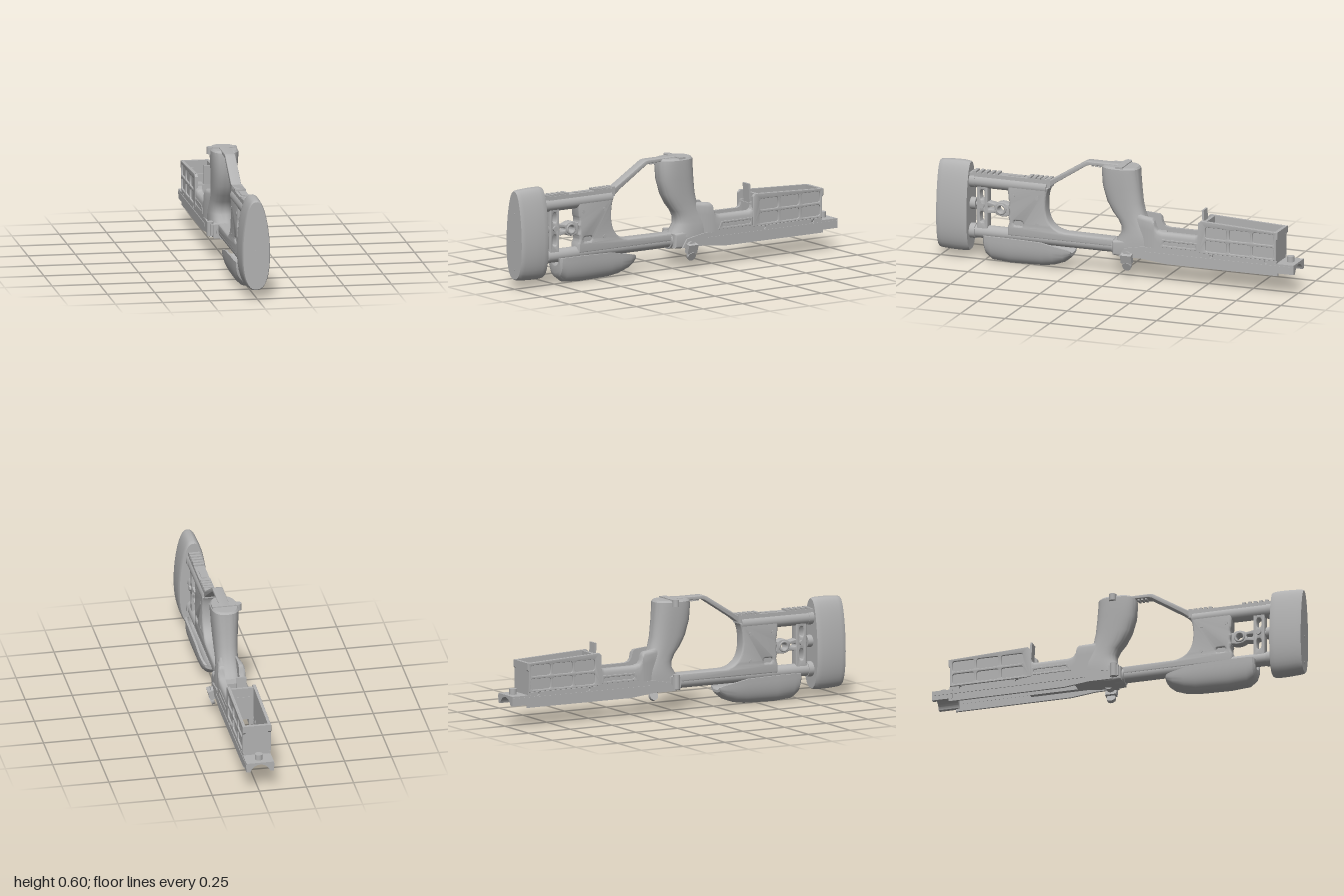
import * as THREE from 'three';
import { toCreasedNormals } from 'three/addons/utils/BufferGeometryUtils.js';

const gray = new THREE.MeshStandardMaterial({ color: 0xb2b2b2 });
gray.name = 'gray';

export function createModel() {
  const root = new THREE.Group();
  root.name = 'chassisStock';
  const body = new THREE.Group();
  body.name = 'body';
  body.position.x = -0.005;
  root.add(body);

  const add = (name, geo, x = 0, y = 0, z = 0, rx = 0, ry = 0, rz = 0) => {
    const m = new THREE.Mesh(geo, gray);
    m.name = name;
    m.position.set(x, y, z);
    m.rotation.set(rx, ry, rz);
    body.add(m);
    return m;
  };
  // Box given by its extents on each axis
  const box = (name, x0, x1, y0, y1, z0, z1) =>
    add(name, new THREE.BoxGeometry(x1 - x0, y1 - y0, z1 - z0), (x0 + x1) / 2, (y0 + y1) / 2, (z0 + z1) / 2);
  // Cylinders along each axis
  const cylX = (name, r, len, x, y, z) => add(name, new THREE.CylinderGeometry(r, r, len, 24), x, y, z, 0, 0, Math.PI / 2);
  const cylY = (name, r, len, x, y, z) => add(name, new THREE.CylinderGeometry(r, r, len, 24), x, y, z);
  const cylZ = (name, r, z0, z1, y) =>
    add(name, new THREE.CylinderGeometry(r, r, z1 - z0, 24), 0, y, (z0 + z1) / 2, Math.PI / 2);
  // Smooth outline from points; entries with four numbers are quadratic curves
  const outline = (pts) => {
    const s = new THREE.Shape();
    pts.forEach((p, i) => {
      if (i === 0) s.moveTo(p[0], p[1]);
      else if (p.length === 4) s.quadraticCurveTo(...p);
      else s.lineTo(p[0], p[1]);
    });
    return s;
  };
  // Side profile in (z, y), extruded from x0 to x1
  const profile = (name, pts, x0, x1, bevel = 0, holes = []) => {
    const s = outline(pts);
    s.holes = holes;
    const d = x1 - x0;
    const g = new THREE.ExtrudeGeometry(s, {
      depth: d - 2 * bevel, bevelEnabled: bevel > 0, bevelSize: bevel, bevelThickness: bevel,
      bevelOffset: -bevel, bevelSegments: 3, curveSegments: 10,
    });
    g.translate(0, 0, bevel - d / 2);
    g.rotateY(-Math.PI / 2);
    return add(name, toCreasedNormals(g, 0.6), (x0 + x1) / 2);
  };
  const roundHole = (z, y, r) => new THREE.Path().absarc(z, y, r, 0, Math.PI * 2, true);
  const slot = (z, y, w, h, r) => {
    const p = new THREE.Path(), a = w / 2 - r, b = h / 2 - r, q = Math.PI / 2;
    p.absarc(z + a, y + b, r, 0, q, false);
    p.absarc(z - a, y + b, r, q, 2 * q, false);
    p.absarc(z - a, y - b, r, 2 * q, 3 * q, false);
    p.absarc(z + a, y - b, r, 3 * q, 4 * q, false);
    p.closePath();
    return p;
  };
  // Skin over rings of points, with both ends closed
  const loft = (name, rings) => {
    const n = rings[0].length, pos = rings.flat(2), idx = [];
    for (let k = 0; k < rings.length - 1; k++)
      for (let i = 0; i < n; i++) {
        const a = k * n + i, b = k * n + (i + 1) % n;
        idx.push(a, b, b + n, a, b + n, a + n);
      }
    const e = (rings.length - 1) * n;
    for (let i = 0; i < n / 2 - 1; i++) {
      const a = i, b = i + 1, c = n - 2 - i, d = n - 1 - i;
      idx.push(a, c, b, a, d, c, e + a, e + b, e + c, e + a, e + c, e + d);
    }
    const P = (i) => new THREE.Vector3(...pos.slice(3 * i, 3 * i + 3));
    let vol = 0;
    for (let i = 0; i < idx.length; i += 3) vol += P(idx[i]).dot(P(idx[i + 1]).cross(P(idx[i + 2])));
    if (vol < 0) idx.reverse();
    const g = new THREE.BufferGeometry();
    g.setAttribute('position', new THREE.Float32BufferAttribute(pos, 3));
    g.setIndex(idx);
    return add(name, toCreasedNormals(g, 0.6));
  };
  const pw = (v, e) => Math.sign(v) * Math.abs(v) ** e;
  const angles = Array.from({ length: 48 }, (_, i) => (i + 0.5) / 48 * Math.PI * 2);

  // Butt pad with three screws
  loft('buttPad', [[0.83, 0.92], [0.838, 0.97], [0.86, 1], [0.91, 1], [0.975, 0.965], [0.992, 0.94], [1, 0.89]].map(([z, s]) =>
    angles.map((t) => [s * 0.077 * pw(Math.cos(t), 0.8) * (1 - 0.17 * Math.sin(t)),
      0.284 + (0.244 - (1 - s) * 0.1) * Math.sin(t), z])));
  for (const y of [0.4, 0.255, 0.105]) cylZ('padScrew', 0.007, 0.99, 1.001, y);

  // Cheek rest: a hanging trough
  const arc = Array.from({ length: 25 }, (_, i) => i / 24 * Math.PI);
  loft('cheekRest', [[0.745, 0.14, 0.06, 0.052], [0.735, 0.143, 0.035, 0.063], [0.7, 0.144, 0.008, 0.068], [0.6, 0.144, 0, 0.068],
    [0.42, 0.14, 0.005, 0.068], [0.36, 0.128, 0.014, 0.067], [0.3, 0.117, 0.036, 0.063], [0.27, 0.11, 0.06, 0.057],
    [0.26, 0.102, 0.074, 0.05]].map(([z, top, low, w]) => [
    ...arc.map((t) => [w * pw(Math.cos(t), 0.8), top - (top - low) * pw(Math.sin(t), 0.8), z]),
    ...arc.map((t) => [-(w - 0.012) * Math.cos(t), top - (top - low) * 0.55 * Math.sin(t), z]),
  ]));

  // Butt stock tubes, frame and top rail
  cylZ('lowerTube', 0.035, 0, 0.84, 0.15);
  cylZ('upperTube', 0.038, 0.4, 0.84, 0.425);
  profile('stockFrame', [[0.615, 0.15], [0.615, 0.2], [0.6, 0.225, 0.612, 0.25], [0.6, 0.275, 0.612, 0.3],
    [0.6, 0.325, 0.612, 0.35], [0.615, 0.43], [0.385, 0.43], [0.405, 0.4, 0.405, 0.33], [0.405, 0.21, 0.3, 0.197],
    [0.02, 0.194], [0.02, 0.15]], -0.036, 0.036, 0.01, [slot(0.555, 0.222, 0.05, 0.024, 0.01)]);
  box('frameSlotCore', -0.028, 0.028, 0.205, 0.24, 0.525, 0.585);
  box('topRail', -0.028, 0.028, 0.43, 0.47, 0.38, 0.83);
  for (const [z0, n, step] of [[0.38, 5, 0.027], [0.67, 5, 0.031]])
    for (let i = 0; i < n; i++) box('railTooth', -0.028, 0.028, 0.468, 0.48, z0 + i * step, z0 + i * step + 0.018);
  profile('railSlotBlock', [[0.62, 0.46], [0.62, 0.474], [0.53, 0.474], [0.53, 0.46]], -0.014, 0.014);
  for (const s of [-1, 1])
    for (const [z, y] of [[0.585, 0.37], [0.45, 0.37], [0.45, 0.225]]) cylX('frameBolt', 0.01, 0.006, s * 0.035, y, z);

  // Adjustment post, arm and wheels
  profile('adjusterPost', [[0.79, 0.16], [0.79, 0.41], [0.73, 0.41], [0.73, 0.16]], -0.026, 0.026, 0.004,
    [slot(0.76, 0.355, 0.025, 0.055, 0.012), slot(0.76, 0.235, 0.025, 0.06, 0.012)]);
  profile('adjusterArm', [[0.74, 0.255], [0.74, 0.32], [0.69, 0.31], [0.655, 0.335, 0.62, 0.315], [0.61, 0.315], [0.61, 0.255],
    [0.655, 0.237, 0.69, 0.262]], -0.024, 0.024, 0.004, [roundHole(0.655, 0.286, 0.017), slot(0.71, 0.288, 0.035, 0.016, 0.006)]);
  for (const s of [-1, 1])
    add('armBoss', new THREE.TorusGeometry(0.024, 0.006, 8, 24), s * 0.024, 0.286, 0.655, 0, Math.PI / 2, 0);
  cylZ('adjusterWheel', 0.032, 0.798, 0.828, 0.298);
  cylZ('adjusterShaft', 0.015, 0.76, 0.84, 0.298);
  for (const s of [-1, 1]) cylX('postKnob', 0.014, 0.014, s * 0.03, 0.298, 0.76);
  for (const y of [0.15, 0.425]) cylZ('tubeCollar', 0.04, 0.8, 0.83, y);

  // Strap from the stock to the end of the grip
  profile('strap', [[0.43, 0.44], [0.43, 0.476], [0.375, 0.476], [0.195, 0.588], [0.18, 0.597, 0.165, 0.597],
    [-0.04, 0.597], [-0.04, 0.58], [0.16, 0.578], [0.178, 0.572], [0.345, 0.464], [0.375, 0.44]], -0.027, 0.027, 0.003);
  for (let i = 0; i < 3; i++) box('strapRib', -0.02, 0.02, 0.57, 0.582, 0.1 + i * 0.02, 0.11 + i * 0.02);
  box('strapCrossPlate', -0.072, 0.068, 0.576, 0.597, -0.04, 0);
  cylY('strapLug', 0.018, 0.037, -0.072, 0.579, -0.02);

  // Pistol grip, flaring into the fore body
  loft('grip', [[0.17, 0.025, -0.235, 0.066], [0.2, 0.008, -0.235, 0.066], [0.235, -0.015, -0.215, 0.064], [0.27, -0.015, -0.185, 0.06],
    [0.305, 0.002, -0.16, 0.058], [0.345, 0.035, -0.142, 0.059], [0.4, 0.065, -0.129, 0.062], [0.48, 0.088, -0.12, 0.067],
    [0.56, 0.093, -0.113, 0.072], [0.582, 0.09, -0.112, 0.072], [0.592, 0.08, -0.104, 0.064]].map(([y, zr, zf, w]) =>
    angles.map((t) => [w * pw(Math.cos(t), 0.75), y, (zr + zf) / 2 + (zr - zf) / 2 * pw(Math.sin(t), 0.8)])));
  profile('gripBase', [[0.02, 0.115], [0.02, 0.19], [-0.24, 0.22], [-0.24, 0.13], [-0.04, 0.11]], -0.062, 0.062, 0.012);

  for (const s of [-1, 1]) {
    const side = (name, pts, x0, x1, bevel, holes) => profile(name, pts, s > 0 ? x0 : -x1, s > 0 ? x1 : -x0, bevel, holes);
    // Fore body walls, blending out of the grip, beside the open cavity: z, top, outer x
    loft('foreWall', [[-0.07, 0.3, 0.046], [-0.12, 0.345, 0.053], [-0.15, 0.341, 0.061], [-0.18, 0.337, 0.068], [-0.205, 0.334, 0.071],
      [-0.216, 0.322, 0.072], [-0.221, 0.295, 0.072], [-0.235, 0.275, 0.072], [-0.26, 0.267, 0.072], [-0.445, 0.266, 0.072],
      [-0.46, 0.274, 0.072], [-0.467, 0.29, 0.072], [-0.472, 0.31, 0.072], [-0.5, 0.31, 0.072]].map(([z, top, x]) =>
      [[x, 0.13], [x, top - 0.06], [x, top - 0.022], [x - 0.003, top - 0.01], [x - 0.009, top - 0.003], [x - 0.017, top],
        [Math.min(0.038, x - 0.02), top], [Math.min(0.038, x - 0.02), 0.13]].map(([px, py]) => [s * px, py, z])));
    side('foreSlotFrame', [[-0.245, 0.19], [-0.265, 0.232], [-0.46, 0.232], [-0.46, 0.19]], 0.066, 0.075, 0.002,
      [slot(-0.36, 0.211, 0.18, 0.02, 0.0099)]);
    // Lower rail with cross holes
    side('lowerRail', [[-0.02, 0.115], [-0.05, 0.16], [-0.15, 0.18], [-0.905, 0.18], [-0.905, 0.165], [-1, 0.165], [-1, 0.115],
      [-0.91, 0.115], [-0.91, 0.1], [-0.285, 0.1], [-0.15, 0.115]], 0.062, 0.072, 0,
      [roundHole(-0.54, 0.17, 0.0095), roundHole(-0.845, 0.17, 0.0095)]);
    box('railRidge', s * 0.068 - 0.007, s * 0.068 + 0.007, 0.14, 0.156, -1, -0.17);
    // Magazine well side with a grid of pockets
    const well = [[-0.465, 0.182], [-0.465, 0.34], [-0.48, 0.354], [-0.91, 0.335], [-0.91, 0.3], [-0.902, 0.29], [-0.902, 0.182]];
    side('wellWall', well, 0.06, 0.068, 0);
    const pockets = [];
    for (const z of [-0.565, -0.698, -0.83])
      for (const y of [0.222, 0.294]) pockets.push(slot(z, y, 0.118, 0.058, 0.012));
    side('wellGrid', well, 0.067, 0.076, 0.002, pockets);
  }

  // Magazine well ends and latch
  box('wellRearWall', -0.066, 0.066, 0.17, 0.3, -0.51, -0.468);
  box('wellRearLip', -0.066, 0.066, 0.3, 0.35, -0.508, -0.492);
  box('wellFrontWall', -0.07, 0.07, 0.165, 0.3, -0.902, -0.89);
  box('wellFrontLip', -0.07, 0.07, 0.3, 0.336, -0.91, -0.892);
  box('latch', -0.027, 0.027, 0.28, 0.4, -0.483, -0.472).rotation.x = 0.06;
  box('cavityBridge', -0.04, 0.04, 0.15, 0.25, -0.255, -0.2);

  // Front tip with a concave underside, and its peg
  const tip = new THREE.Shape();
  tip.moveTo(-0.073, 0.115);
  tip.lineTo(-0.055, 0.115);
  tip.absarc(0, 0.1, 0.055, Math.PI - 0.28, 0.28, true);
  tip.lineTo(0.073, 0.115);
  tip.lineTo(0.073, 0.166);
  tip.lineTo(-0.073, 0.166);
  add('tip', toCreasedNormals(new THREE.ExtrudeGeometry(tip, { depth: 0.11, bevelEnabled: false, curveSegments: 20 }), 0.6), 0, 0, -1);
  cylY('tipPeg', 0.02, 0.04, 0, 0.176, -0.955);

  // Hinge collar, side pivot and wing lever
  cylZ('hingeCollar', 0.044, -0.02, 0.03, 0.15);
  cylY('sidePivot', 0.018, 0.075, -0.072, 0.163, -0.015);
  box('pivotBlock', -0.075, 0, 0.13, 0.19, -0.04, 0.01);
  cylX('leverHub', 0.022, 0.06, 0.055, 0.125, -0.07);
  box('leverArm', 0.068, 0.096, 0.085, 0.135, -0.1, -0.04).rotation.z = -0.3;
  add('leverTail', new THREE.CylinderGeometry(0.024, 0.024, 0.018, 24), 0.076, 0.07, -0.07, 0, 0, Math.PI / 2 - 0.4);

  return root;
}
